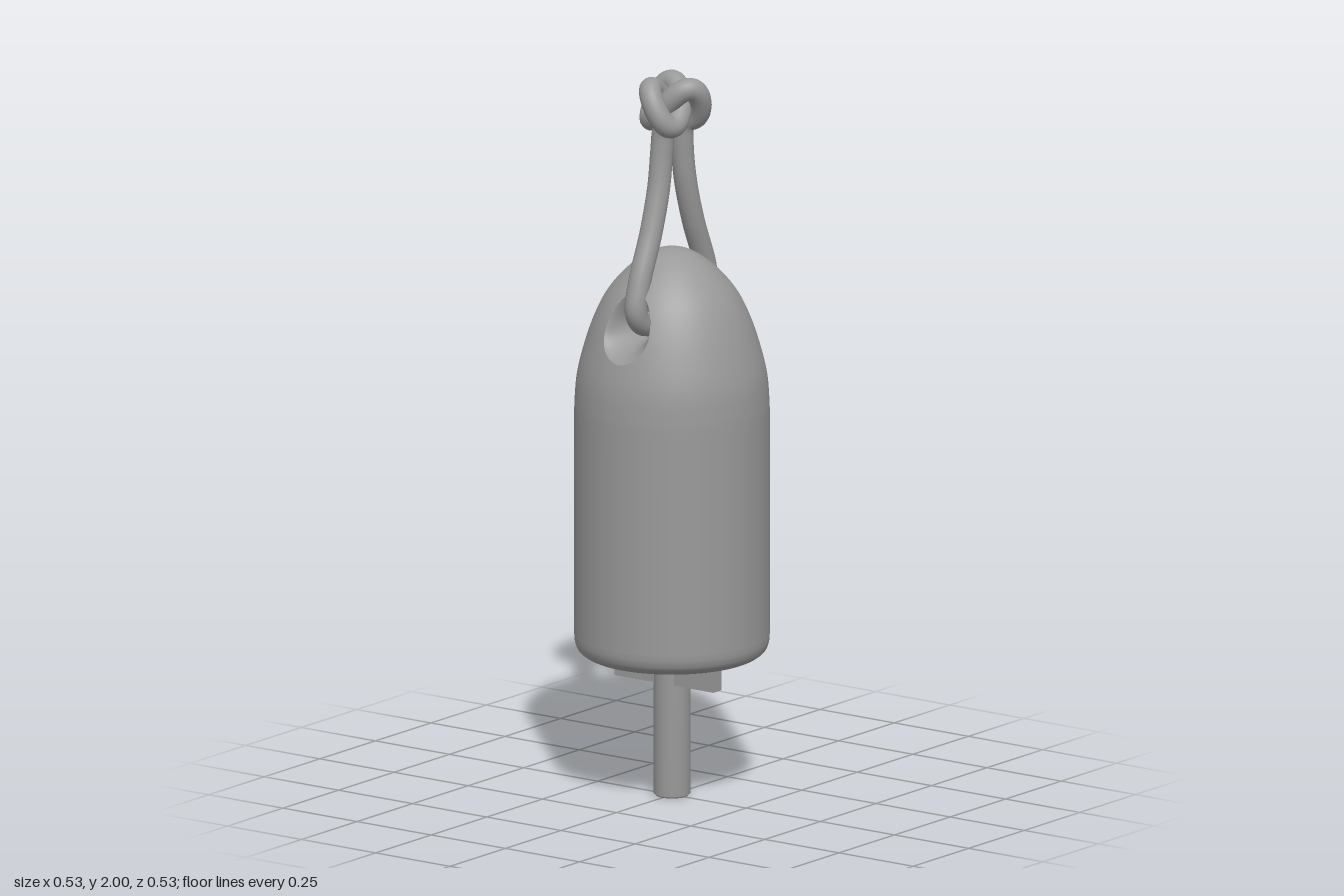
import * as THREE from 'three';

const material = new THREE.MeshStandardMaterial({ color: 0x999999 });
const MOUTH = { y: 1.315, width: 0.073, up: 0.11, down: 0.073 }; // flared opening of the rope hole
const THROAT = { y: 1.34, r: 0.044, x: 0.1 };                    // straight part of the rope hole

const v2 = (p) => new THREE.Vector2(p[0], p[1]);
const v3 = (p) => new THREE.Vector3(p[0], p[1], p[2]);
const mix = THREE.MathUtils.lerp;

function add(group, name, geometry, mat = material) {
  const mesh = new THREE.Mesh(geometry, mat);
  mesh.name = name;
  group.add(mesh);
  return mesh;
}

// Body profile, bottom to tip: rounded base, straight wall, pointed dome
function bodyProfile() {
  const base = new THREE.SplineCurve([[0, 0.376], [0.12, 0.378], [0.21, 0.386], [0.248, 0.403],
    [0.261, 0.425], [0.264, 0.45]].map(v2)).getPoints(30);
  const dome = new THREE.SplineCurve([[0.264, 1.05], [0.263, 1.1], [0.257, 1.17], [0.241, 1.24],
    [0.215, 1.32], [0.182, 1.39], [0.14, 1.445], [0.09, 1.49], [0.045, 1.515], [0, 1.524]].map(v2)).getPoints(64);
  return [...base, ...dome];
}

function radiusAt(profile, y) {
  for (let i = 1; i < profile.length; i++) {
    const a = profile[i - 1], b = profile[i];
    if (y <= b.y) return a.x + (b.x - a.x) * (y - a.y) / (b.y - a.y);
  }
  return 0;
}

// Point of the opening's egg-shaped rim, on the +x side of the dome
function rimPoint(profile, angle) {
  const s = Math.sin(angle);
  const y = MOUTH.y + s * (s > 0 ? MOUTH.up : MOUTH.down);
  const z = MOUTH.width * Math.cos(angle);
  return new THREE.Vector3(Math.sqrt(radiusAt(profile, y) ** 2 - z * z), y, z);
}

// Lathed shell with an opening cut on each side
function shellGeometry(profile) {
  const geometry = new THREE.LatheGeometry(profile, 128);
  const pos = geometry.attributes.position;
  const inside = [];
  for (let i = 0; i < pos.count; i++) {
    const x = pos.getX(i), dy = pos.getY(i) - MOUTH.y;
    const v = dy / (dy > 0 ? MOUTH.up : MOUTH.down);
    const w = pos.getZ(i) / MOUTH.width;
    inside[i] = Math.hypot(v, w) < 1;
    if (!inside[i]) continue;
    // slide vertices within the opening out to its rim
    const rim = rimPoint(profile, Math.atan2(v, w));
    pos.setXYZ(i, Math.sign(x) * rim.x, rim.y, rim.z);
  }
  const index = geometry.index.array, kept = [];
  for (let i = 0; i < index.length; i += 3) {
    const tri = [index[i], index[i + 1], index[i + 2]];
    if (!tri.every((k) => inside[k])) kept.push(...tri);
  }
  geometry.setIndex(kept);
  return geometry;
}

// Tunnel through the dome, flaring to the opening at both ends
function tunnelGeometry(profile) {
  const cols = 64, steps = 16, positions = [], indices = [];
  const rows = [];
  for (let i = 0; i <= steps; i++) rows.push([1, i / steps]);
  for (let i = steps; i >= 0; i--) rows.push([-1, i / steps]);
  for (const [side, s] of rows) {
    const inward = 1 - (1 - s) ** 1.7, depth = s ** 1.2;
    for (let j = 0; j < cols; j++) {
      const a = j / cols * Math.PI * 2;
      const rim = rimPoint(profile, a);
      positions.push(
        side * mix(rim.x, THROAT.x, depth),
        mix(rim.y, THROAT.y + THROAT.r * Math.sin(a), inward),
        mix(rim.z, THROAT.r * Math.cos(a), inward));
    }
  }
  for (let i = 0; i < rows.length - 1; i++) {
    for (let j = 0; j < cols; j++) {
      const a = i * cols + j, b = i * cols + (j + 1) % cols;
      indices.push(a, a + cols, b, b, a + cols, b + cols);
    }
  }
  const geometry = new THREE.BufferGeometry();
  geometry.setAttribute('position', new THREE.Float32BufferAttribute(positions, 3));
  geometry.setIndex(indices);
  geometry.computeVertexNormals();
  return geometry;
}

// Three-lobed knot lying flat around the vertical axis
class KnotCurve extends THREE.Curve {
  getPoint(u, target = new THREE.Vector3()) {
    const t = u * Math.PI * 2, s = 0.0265;
    return target.set(
      s * (Math.cos(t) - 2 * Math.cos(2 * t)),
      0.049 * Math.sin(3 * t),
      s * (Math.sin(t) + 2 * Math.sin(2 * t)));
  }
}

export function createModel() {
  const model = new THREE.Group();
  model.name = 'buoy';

  // Float body with its rope hole
  const body = new THREE.Group();
  body.name = 'floatBody';
  model.add(body);
  const profile = bodyProfile();
  add(body, 'shell', shellGeometry(profile));
  const inner = material.clone();
  inner.side = THREE.DoubleSide;
  add(body, 'ropeHole', tunnelGeometry(profile), inner);

  // Rope loop through the hole, tied in a knot at the top
  const rope = new THREE.Group();
  rope.name = 'rope';
  model.add(rope);
  const half = [[0.07, 1.33, 0], [0.13, 1.333, 0], [0.161, 1.37, 0], [0.147, 1.45, 0],
    [0.095, 1.58, 0], [0.06, 1.7, 0], [0.046, 1.8, 0], [0.043, 1.855, 0.004], [0.047, 1.88, 0.02]];
  const left = half.map(v3);
  const right = half.map(([x, y, z]) => new THREE.Vector3(-x, y, z)).reverse();
  const loop = new THREE.CatmullRomCurve3([...right, ...left]);
  add(rope, 'ropeLoop', new THREE.TubeGeometry(loop, 160, 0.031, 20));
  const knot = add(rope, 'knot', new THREE.TubeGeometry(new KnotCurve(), 200, 0.031, 20, true));
  knot.position.set(0, 1.92, -0.004);
  knot.rotation.y = 0.1;

  // Rod below the body, with a cross bar
  const rod = [[0, 0], [0.044, 0], [0.05, 0.006], [0.05, 0.4]].map(v2);
  add(model, 'rod', new THREE.LatheGeometry(rod, 32));
  const bar = add(model, 'crossBar', new THREE.BoxGeometry(0.037, 0.085, 0.334));
  bar.position.set(-0.018, 0.3575, 0);

  return model;
}
